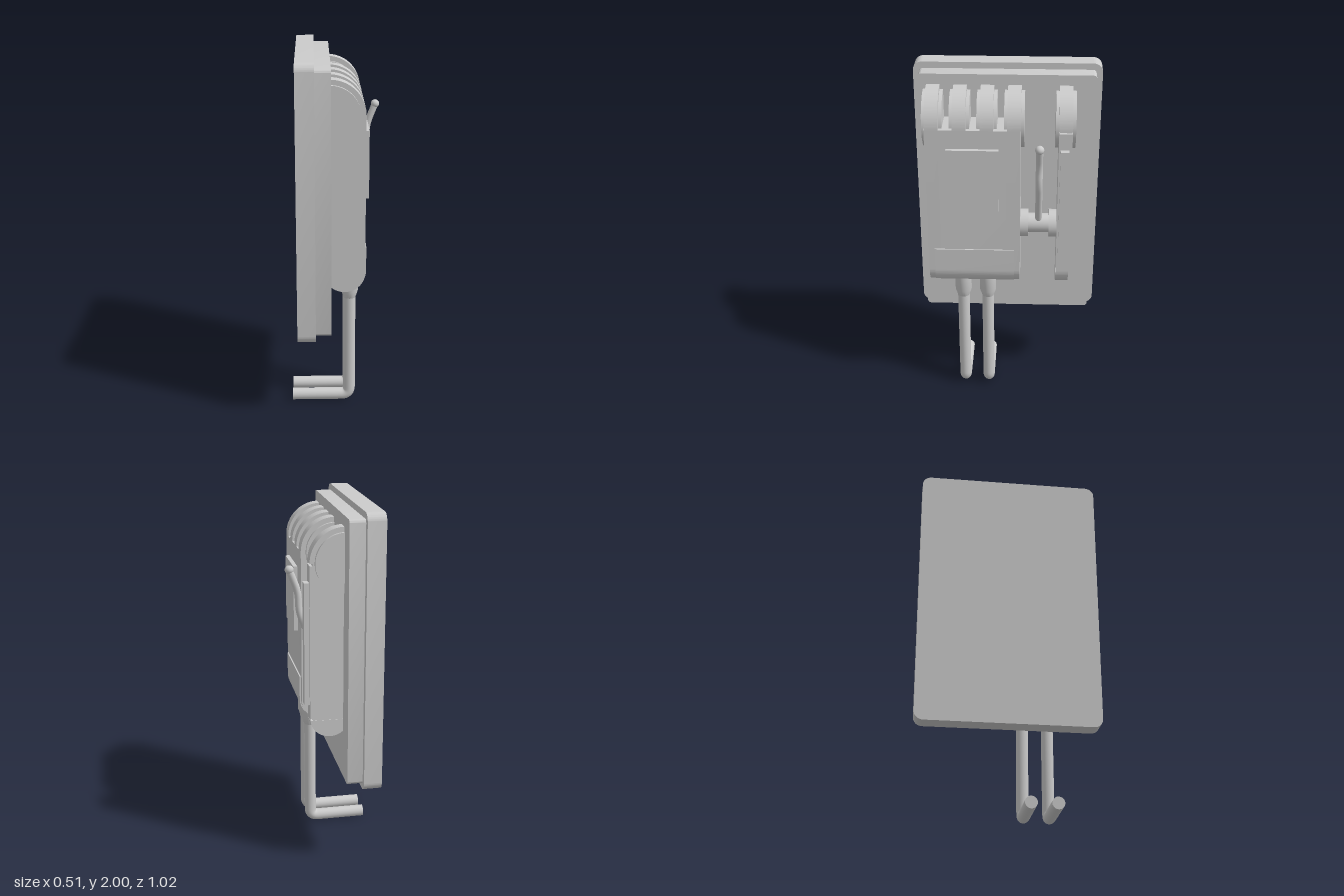
import * as THREE from 'three';
import { toCreasedNormals } from 'three/addons/utils/BufferGeometryUtils.js';

const BACK = -0.04;   // where housings meet the wall plate
const HINGE_Y = 1.72; // centre of the rounded tops

export function createModel() {
  const group = new THREE.Group();
  const mat = new THREE.MeshStandardMaterial({ color: 0xcccccc });

  const add = (name, geo, x = 0, y = 0, z = 0) => {
    const mesh = new THREE.Mesh(geo, mat);
    mesh.name = name;
    mesh.position.set(x, y, z);
    group.add(mesh);
    return mesh;
  };

  // Side profile in XY extruded between two z values
  const slab = (name, shape, z0, z1) => {
    const geo = new THREE.ExtrudeGeometry(shape, { depth: z1 - z0, bevelEnabled: false, curveSegments: 20 });
    return add(name, toCreasedNormals(geo, 0.5), 0, 0, z0);
  };

  const box = (name, x0, x1, y0, y1, z0, z1) =>
    add(name, new THREE.BoxGeometry(x1 - x0, y1 - y0, z1 - z0), (x0 + x1) / 2, (y0 + y1) / 2, (z0 + z1) / 2);

  // Housing profile: straight front, round bottom, optionally cut off flat
  const housing = (top, off = 0, cut = null) => {
    const r = 0.11 + off, cx = 0.037, cy = 0.86;
    const end = cut === null ? -(Math.PI - Math.acos((cx - BACK) / r)) : -Math.asin(Math.max(0, cy - cut) / r);
    const s = new THREE.Shape();
    s.moveTo(BACK, top);
    s.lineTo(cx + r, top);
    if (cut !== null && cut >= cy) s.lineTo(cx + r, cut);
    else s.absarc(cx, cy, r, 0, end, true);
    if (cut !== null) s.lineTo(BACK, cut);
    return s;
  };

  const halfDisc = (r) => {
    const s = new THREE.Shape();
    s.absarc(BACK, HINGE_Y, r, -Math.PI / 2, Math.PI / 2, false);
    return s;
  };
  const dome = (r) => {
    const s = new THREE.Shape();
    s.absarc(BACK, HINGE_Y, r, 0, Math.PI / 2, false);
    s.lineTo(BACK, HINGE_Y);
    return s;
  };

  // Rounded plates standing in the YZ plane
  const plate = (name, x0, x1, y0, y1, halfW, r) => {
    const s = new THREE.Shape();
    s.absarc(halfW - r, y1 - r, r, 0, Math.PI / 2, false);
    s.absarc(-halfW + r, y1 - r, r, Math.PI / 2, Math.PI, false);
    s.absarc(-halfW + r, y0 + r, r, Math.PI, Math.PI * 1.5, false);
    s.absarc(halfW - r, y0 + r, r, Math.PI * 1.5, Math.PI * 2, false);
    const geo = new THREE.ExtrudeGeometry(s, { depth: x1 - x0, bevelEnabled: false, curveSegments: 8 });
    geo.rotateY(Math.PI / 2);
    add(name, toCreasedNormals(geo, 0.5), x0, 0, 0);
  };
  plate('backPlate', -0.22, -0.12, 0.472, 2, 0.51, 0.05);
  plate('frontPlate', -0.12, -0.035, 0.505, 1.965, 0.476, 0.02);

  // Main housing: hollow-bottomed middle between two full cheeks
  slab('housingMiddle', housing(HINGE_Y, 0, 0.79), 0, 0.365);
  slab('housingCheek', housing(HINGE_Y), 0.365, 0.435);
  slab('housingCheek', housing(HINGE_Y), -0.077, 0);
  box('windowPanel', 0.14, 0.17, 1.245, 1.615, 0.04, 0.322);
  slab('lowerCover', housing(0.995, 0.007, 0.783), -0.044, 0.402);

  // Fins over the housing and the slim arm
  for (const z of [0.396, 0.25, 0.104, -0.042, -0.315]) {
    slab('fin', dome(0.187), z - 0.036, z + 0.036);
    slab('finDisc', halfDisc(0.16), z - 0.054, z + 0.054);
  }

  // Slim arm with grooves at both ends
  slab('armCore', housing(HINGE_Y, -0.015, 0.8), -0.349, -0.281);
  slab('armMiddle', housing(1.708, 0, 0.86), -0.351, -0.279);
  slab('armEnd', housing(0.847), -0.351, -0.279);
  box('armStrip', 0.14, 0.175, 0.935, 1.615, -0.336, -0.289);

  // Axle and collars between housing and arm
  const roller = (name, r, z0, z1) => {
    const geo = new THREE.CylinderGeometry(r, r, z1 - z0, 32);
    geo.rotateX(Math.PI / 2);
    add(name, geo, 0.053, 1.122, (z0 + z1) / 2);
  };
  roller('axle', 0.054, -0.28, -0.07);
  roller('axleCollar', 0.078, -0.122, -0.07);
  roller('axleCollar', 0.078, -0.285, -0.235);

  // Bent lever with a ball tip
  const tube = (name, points, r) => {
    const path = new THREE.CurvePath();
    const p = points.map(([x, y, z]) => new THREE.Vector3(x, y, z));
    let from = p[0];
    for (let i = 1; i < p.length - 1; i++) {
      const a = p[i].clone().add(p[i - 1].clone().sub(p[i]).setLength(0.045));
      const b = p[i].clone().add(p[i + 1].clone().sub(p[i]).setLength(0.045));
      path.add(new THREE.LineCurve3(from, a));
      path.add(new THREE.QuadraticBezierCurve3(a, p[i], b));
      from = b;
    }
    path.add(new THREE.LineCurve3(from, p[p.length - 1]));
    add(name, new THREE.TubeGeometry(path, 100, r, 20));
  };
  const LZ = -0.178;
  tube('lever', [[0.07, 1.14, LZ], [0.177, 1.42, LZ], [0.18, 1.53, LZ], [0.227, 1.652, LZ]], 0.019);
  add('leverBall', new THREE.SphereGeometry(0.024, 24, 16), 0.227, 1.652, LZ);

  // Two outlet pipes bending back towards the wall
  for (const z of [0.25, 0.108]) {
    const sleeve = [[0, 0.645], [0.034, 0.645], [0.047, 0.685], [0.047, 0.82]].map(([x, y]) => new THREE.Vector2(x, y));
    add('pipeSleeve', toCreasedNormals(new THREE.LatheGeometry(sleeve, 28), 0.5), 0.07, 0, z);
    tube('pipe', [[0.07, 0.7, z], [0.07, 0.036, z], [-0.255, 0.036, z]], 0.034);
    const cap = new THREE.CircleGeometry(0.034, 20);
    cap.rotateY(-Math.PI / 2);
    add('pipeEnd', cap, -0.255, 0.036, z);
  }

  return group;
}
